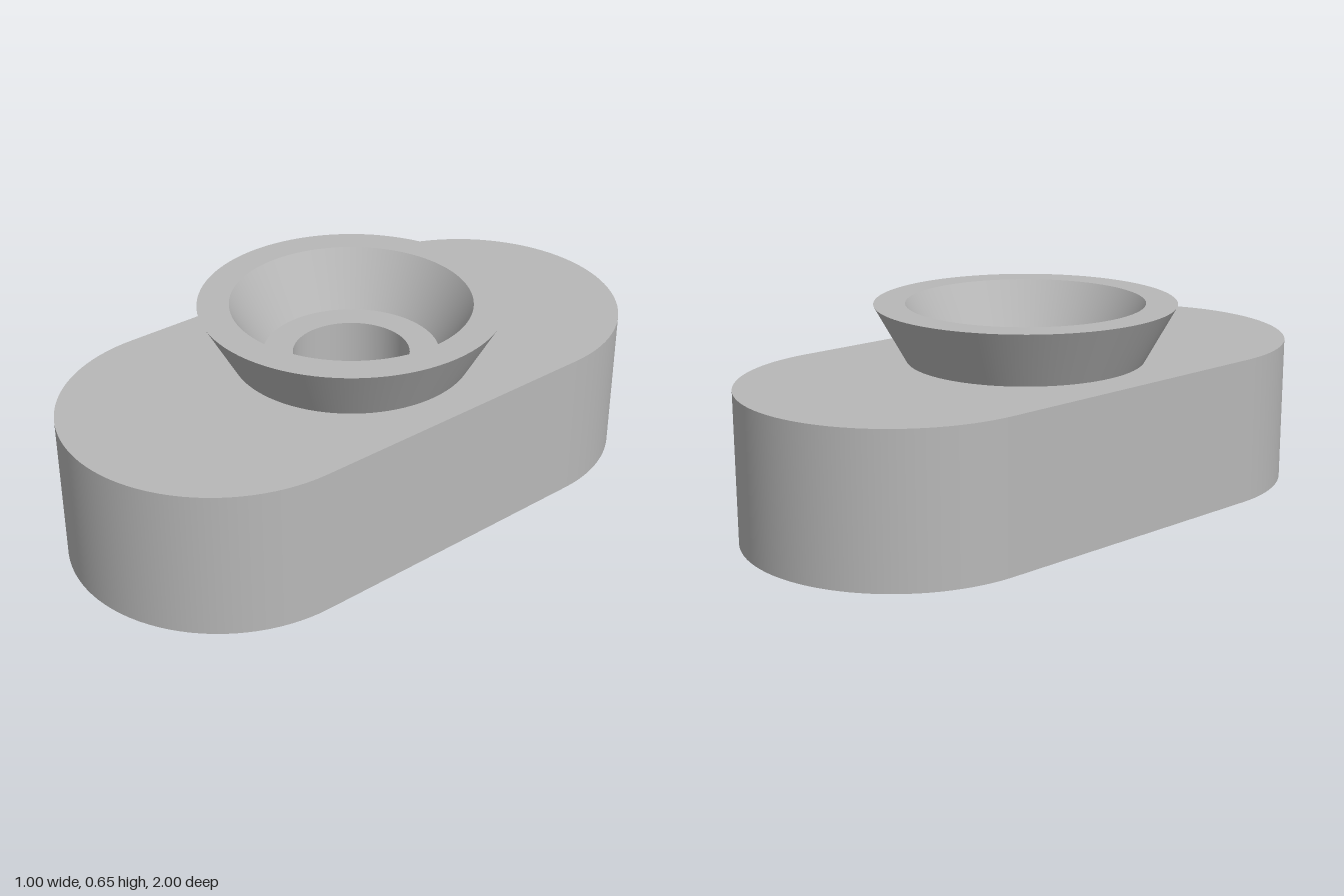
import * as THREE from 'three';
import { mergeGeometries } from 'three/addons/utils/BufferGeometryUtils.js';

const BASE_TOP = 0.475, CEILING = 0.24, RIM_TOP = 0.655;
const BASE = { r: 0.5, half: 0.5 };
const SLOT = { r: 0.28, half: 0.24 };
const BORE = { r: 0.185, half: 0 };
const COLLAR_FOOT = { r: 0.38, half: 0 };
const ARC = 48;

// Points and outward directions round a rounded slot outline (x, z)
function outline({ r, half }) {
  const ring = [];
  for (const side of [0, 1]) {
    for (let i = 0; i <= ARC; i++) {
      const a = Math.PI * (side + i / ARC);
      const nx = Math.cos(a), nz = Math.sin(a);
      ring.push({ x: r * nx, z: r * nz + (side ? -half : half), nx, nz });
    }
  }
  return ring;
}

// Smooth vertical wall along an outline; inward = true faces the axis
function wall(size, y0, y1, inward) {
  const ring = outline(size), n = ring.length, s = inward ? -1 : 1;
  const pos = [], nor = [], idx = [];
  ring.forEach((p, i) => {
    pos.push(p.x, y0, p.z, p.x, y1, p.z);
    nor.push(s * p.nx, 0, s * p.nz, s * p.nx, 0, s * p.nz);
    const a = 2 * i, b = 2 * ((i + 1) % n);
    if (inward) idx.push(a, b, a + 1, b, b + 1, a + 1);
    else idx.push(a, a + 1, b, b, a + 1, b + 1);
  });
  const g = new THREE.BufferGeometry();
  g.setAttribute('position', new THREE.Float32BufferAttribute(pos, 3));
  g.setAttribute('normal', new THREE.Float32BufferAttribute(nor, 3));
  g.setIndex(idx);
  return g;
}

// Flat horizontal face with a hole, facing up or down
function cap(size, hole, y, up) {
  const pts = (o) => outline(o)
    .filter((p, i) => o.half > 0 || i % (ARC + 1) < ARC)
    .map((p) => new THREE.Vector2(p.x, p.z));
  const shape = new THREE.Shape(pts(size));
  shape.holes.push(new THREE.Path(pts(hole)));
  const g = new THREE.ShapeGeometry(shape);
  g.rotateX(up ? -Math.PI / 2 : Math.PI / 2);
  g.translate(0, y, 0);
  g.deleteAttribute('uv');
  return g;
}

// Turned surface with a crisp edge at every profile point
function turned(profile) {
  const bands = [];
  for (let i = 0; i + 1 < profile.length; i++) {
    const pair = [profile[i], profile[i + 1]].map(([r, y]) => new THREE.Vector2(r, y));
    bands.push(new THREE.LatheGeometry(pair, ARC * 2));
  }
  return mergeGeometries(bands);
}

export function createModel() {
  const grey = new THREE.MeshStandardMaterial({ color: 0xb8b8b8 });
  grey.name = 'plain grey';
  const group = new THREE.Group();
  group.name = 'slottedCollarBlock';
  const add = (name, geometry) => {
    const mesh = new THREE.Mesh(geometry, grey);
    mesh.name = name;
    group.add(mesh);
  };

  // Rounded base block
  add('baseBlock', mergeGeometries([
    wall(BASE, 0, BASE_TOP, false),
    cap(BASE, COLLAR_FOOT, BASE_TOP, true),
    cap(BASE, SLOT, 0, false),
  ]));

  // Slot recessed into the underside
  add('undersideSlot', mergeGeometries([
    wall(SLOT, 0, CEILING, true),
    cap(SLOT, BORE, CEILING, false),
  ]));

  // Flared collar: outside, rim, inner cone and seat
  add('flaredCollar', turned([
    [0.38, BASE_TOP], [0.48, RIM_TOP], [0.38, RIM_TOP], [0.28, BASE_TOP], [BORE.r, BASE_TOP],
  ]));

  // Round bore joining the collar seat to the slot
  add('centreBore', turned([[BORE.r, BASE_TOP], [BORE.r, CEILING]]));

  return group;
}
